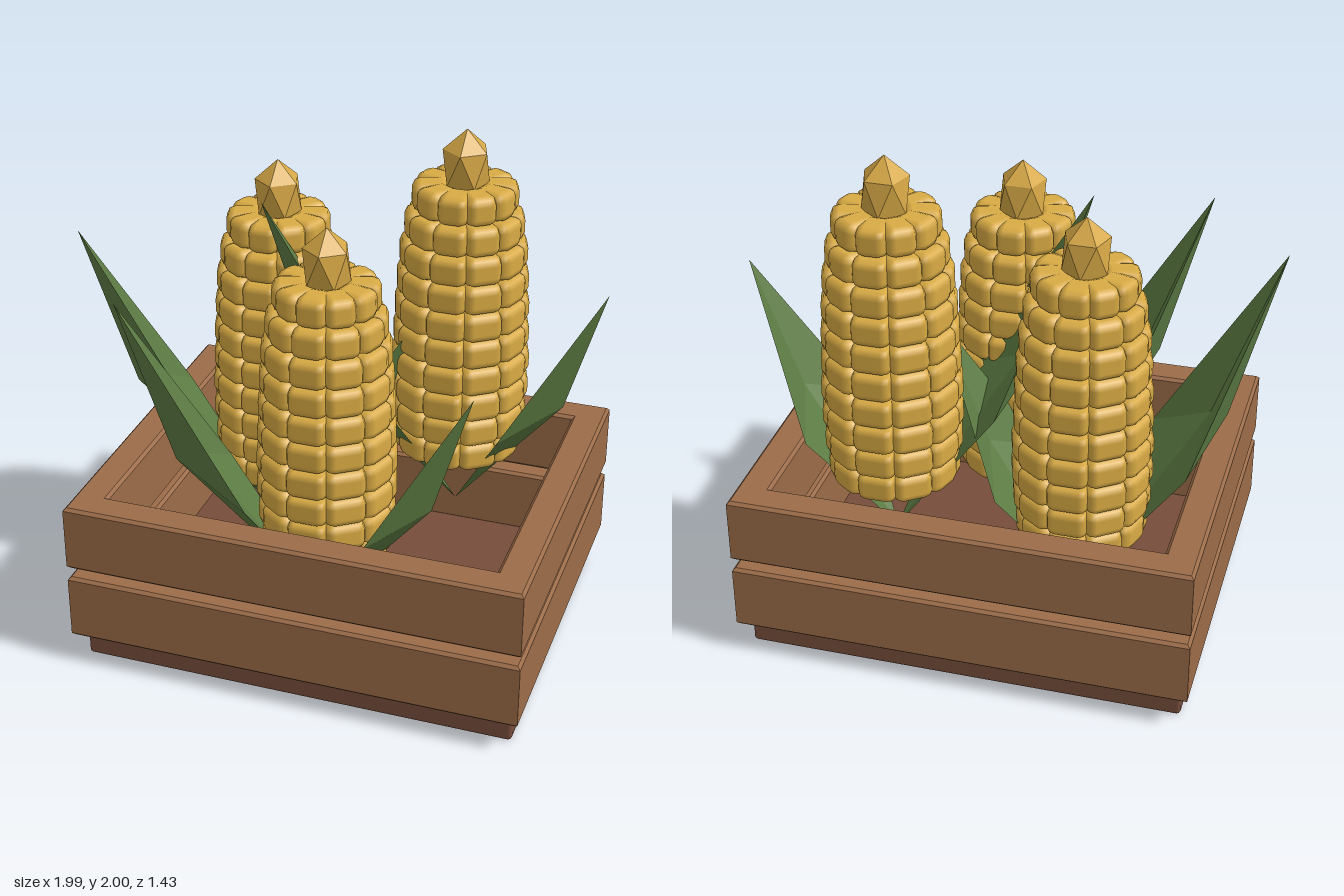
import * as THREE from 'three';
import { mergeGeometries } from 'three/addons/utils/BufferGeometryUtils.js';
import { RoundedBoxGeometry } from 'three/addons/geometries/RoundedBoxGeometry.js';

const material = (name, color, extra = {}) =>
  Object.assign(new THREE.MeshStandardMaterial({ color, ...extra }), { name });

function mesh(name, geometry, mat) {
  const m = new THREE.Mesh(geometry, mat);
  m.name = name;
  return m;
}

// Bevelled rectangular ring of the crate, from y0 to y0 + height
function ringGeometry(width, depth, wall, height, y0) {
  const b = 0.012;
  const rect = (Target, w, d) => new Target([
    new THREE.Vector2(-w, -d), new THREE.Vector2(w, -d),
    new THREE.Vector2(w, d), new THREE.Vector2(-w, d),
  ]);
  const shape = rect(THREE.Shape, width / 2 - b, depth / 2 - b);
  shape.holes.push(rect(THREE.Path, width / 2 - wall + b, depth / 2 - wall + b));
  const g = new THREE.ExtrudeGeometry(shape, {
    depth: height - 2 * b, bevelThickness: b, bevelSize: b, bevelSegments: 1,
  });
  return g.rotateX(-Math.PI / 2).translate(0, y0 + b, 0);
}

// Rows of rounded kernels around a core, narrowing toward the top
function kernelGeometry() {
  const radii = [0.25, 0.26, 0.265, 0.265, 0.26, 0.256, 0.25, 0.242, 0.226, 0.2];
  const columns = 10, top = 1.575, pitch = 0.112, depth = 0.14;
  const parts = [];
  radii.forEach((r, row) => {
    const y = top - (radii.length - row - 0.5) * pitch;
    const width = 2 * (r - 0.035) * Math.tan(Math.PI / columns) + 0.012;
    for (let i = 0; i < columns; i++) {
      parts.push(new RoundedBoxGeometry(width, pitch + 0.004, depth, 1, 0.034)
        .translate(0, y, r - depth / 2)
        .rotateY((i / columns) * Math.PI * 2));
    }
  });
  return mergeGeometries(parts);
}

// Pointed leaf with a V fold: base and tip joined by two shoulders and a keel.
// It grows along +x; length scales reach and rise from the base.
function leafGeometry(length) {
  const baseY = 0.19;
  const at = (r, y, z) => [r * length, baseY + (y - baseY) * length, z];
  const base = at(0, baseY, 0), tip = at(0.77, 1.54, 0);
  const keel = at(0.57, 0.88, 0), fold = at(0.5, 0.9, 0);
  const left = at(0.34, 0.75, -0.22), right = at(0.34, 0.75, 0.22);
  const faces = [
    base, left, keel, keel, left, tip, base, keel, right, keel, tip, right,
    base, fold, left, fold, tip, left, base, right, fold, fold, right, tip,
  ];
  const g = new THREE.BufferGeometry();
  g.setAttribute('position', new THREE.Float32BufferAttribute(faces.flat(), 3));
  g.computeVertexNormals();
  return g;
}

export function createModel() {
  const wood = material('crate wood', 0x9c6c48);
  const darkWood = material('dark base wood', 0x764d3b);
  const yellow = material('corn yellow', 0xd9ab44);
  const tipYellow = material('corn tip yellow', 0xd6a845, { flatShading: true });
  const green = material('leaf green', 0x5d7c44, { flatShading: true, side: THREE.DoubleSide });

  const model = new THREE.Group();
  model.name = 'cornCrate';

  // Crate: base board and two stacked rings
  const crate = new THREE.Group();
  crate.name = 'crate';
  crate.position.x = 0.04;
  crate.add(
    mesh('base', new RoundedBoxGeometry(1.71, 0.13, 1.3, 1, 0.015).translate(0, 0.065, 0), darkWood),
    mesh('lowerRing', ringGeometry(1.78, 1.435, 0.13, 0.27, 0.12), wood),
    mesh('upperRing', ringGeometry(1.78, 1.435, 0.13, 0.27, 0.43), wood),
  );
  model.add(crate);

  // Shared cob parts
  const kernels = kernelGeometry();
  const core = new THREE.CylinderGeometry(0.14, 0.2, 1.09, 10).translate(0, 1.01, 0);
  const tip = new THREE.IcosahedronGeometry(1, 0)
    .rotateX(-Math.atan2((1 + Math.sqrt(5)) / 2, 1))
    .scale(0.1, 0.145, 0.1).translate(0, 1.635, 0);
  const tallLeaf = leafGeometry(1), shortLeaf = leafGeometry(0.773);

  // Three identical plants, each set at its own height
  const plants = [
    ['frontPlant', 0.04, 0, 0.25],
    ['leftPlant', -0.32, 0.035, -0.22],
    ['rightPlant', 0.4, 0.22, -0.295],
  ];
  for (const [name, x, y, z] of plants) {
    const plant = new THREE.Group();
    plant.name = name;
    plant.position.set(x, y, z);
    const tall = mesh('tallLeaf', tallLeaf, green);
    tall.rotation.y = Math.atan2(-0.47, -0.88);
    const short = mesh('shortLeaf', shortLeaf, green);
    short.rotation.y = Math.atan2(-0.16, 0.985);
    plant.add(
      mesh('kernels', kernels, yellow), mesh('core', core, yellow),
      mesh('cobTip', tip, tipYellow), tall, short,
    );
    model.add(plant);
  }
  return model;
}
